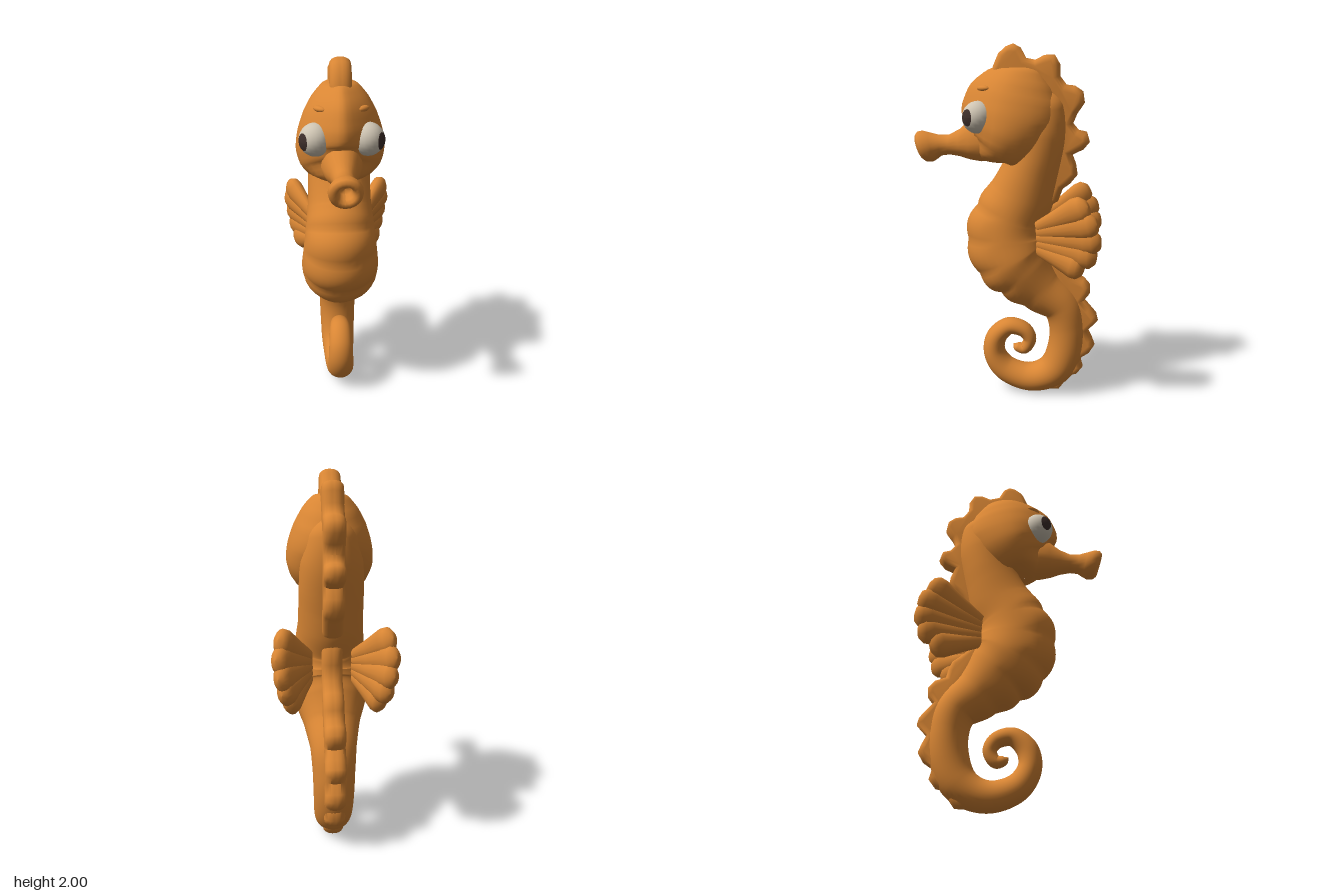
import * as THREE from 'three';
import { toCreasedNormals } from 'three/addons/utils/BufferGeometryUtils.js';

const { smoothstep, lerp } = THREE.MathUtils;

// Loft through stations [z, y, half depth, half width]; the ring starts at the front.
function loft(stations, perStation, sides, adjust) {
  const centre = new THREE.CatmullRomCurve3(stations.map(([z, y]) => new THREE.Vector3(0, y, z)));
  const size = new THREE.CatmullRomCurve3(stations.map(([, , d, w]) => new THREE.Vector3(d, w, 0)));
  const rows = (stations.length - 1) * perStation;
  const pos = [], index = [];
  const xAxis = new THREE.Vector3(1, 0, 0);
  for (let i = 0; i <= rows; i++) {
    const t = i / rows;
    const c = centre.getPoint(t), s = size.getPoint(t);
    const n = centre.getTangent(t).cross(xAxis).normalize();
    for (let j = 0; j < sides; j++) {
      const a = (j / sides) * Math.PI * 2;
      const p = c.clone()
        .addScaledVector(n, Math.max(s.x, 0.002) * Math.cos(a))
        .addScaledVector(xAxis, Math.max(s.y, 0.002) * Math.sin(a));
      adjust(p, Math.cos(a), t * (stations.length - 1), n);
      pos.push(p.x, p.y, p.z);
      if (i < rows) {
        const k = (j + 1) % sides;
        const A = i * sides + j, B = A + sides, C = i * sides + k, D = C + sides;
        index.push(A, B, C, B, D, C);
      }
    }
  }
  const geo = new THREE.BufferGeometry();
  geo.setAttribute('position', new THREE.Float32BufferAttribute(pos, 3));
  geo.setIndex(index);
  geo.computeVertexNormals();
  return geo;
}

// Rounded plate in the middle plane, outlined by [z, y] points.
function crestPlate(points) {
  const shape = new THREE.Shape(points.map(([z, y]) => new THREE.Vector2(z, y)));
  const geo = new THREE.ExtrudeGeometry(shape, {
    depth: 0.014, bevelThickness: 0.05, bevelSize: 0.034, bevelOffset: -0.034, bevelSegments: 4,
  });
  geo.translate(0, 0, -0.007).rotateY(-Math.PI / 2);
  return toCreasedNormals(geo, 1.1);
}

export function createModel() {
  const group = new THREE.Group();
  const orange = new THREE.MeshStandardMaterial({ name: 'orange skin', color: 0xd98634 });
  const white = new THREE.MeshStandardMaterial({ name: 'eye white', color: 0xcfc5b3 });
  const dark = new THREE.MeshStandardMaterial({ name: 'pupil brown', color: 0x3d2e2a });
  const add = (name, geo, mat, parent = group) => {
    const mesh = new THREE.Mesh(geo, mat);
    mesh.name = name;
    parent.add(mesh);
    return mesh;
  };

  // Neck, belly and curled tail in one sweep, with rolls on the belly
  const body = [
    [-0.13, 1.80, 0.05, 0.04], [-0.16, 1.66, 0.16, 0.14], [-0.17, 1.52, 0.16, 0.168],
    [-0.155, 1.40, 0.155, 0.174], [-0.125, 1.30, 0.165, 0.176], [-0.08, 1.18, 0.185, 0.18],
    [-0.018, 1.06, 0.202, 0.195], [0.003, 0.94, 0.225, 0.21], [-0.03, 0.825, 0.218, 0.222],
    [-0.1, 0.735, 0.185, 0.198], [-0.195, 0.64, 0.143, 0.155], [-0.315, 0.54, 0.112, 0.125],
    [-0.35, 0.42, 0.105, 0.115], [-0.342, 0.275, 0.105, 0.11], [-0.29, 0.155, 0.1, 0.105],
    [-0.2, 0.095, 0.088, 0.095], [-0.1, 0.085, 0.08, 0.087], [0.02, 0.135, 0.072, 0.08],
    [0.078, 0.23, 0.064, 0.075], [0.066, 0.325, 0.06, 0.07], [-0.01, 0.395, 0.05, 0.062],
    [-0.1, 0.375, 0.044, 0.052], [-0.132, 0.32, 0.038, 0.046], [-0.1, 0.262, 0.034, 0.04],
    [-0.055, 0.27, 0.026, 0.03], [-0.035, 0.285, 0.002, 0.002],
  ];
  add('body and tail', loft(body, 8, 32, (p, front, u, n) => {
    const panel = smoothstep(front, 0.1, 0.4) * smoothstep(u, 5.4, 6.1) * (1 - smoothstep(u, 9.3, 10.6));
    p.addScaledVector(n, panel * (0.02 * Math.abs(Math.sin(Math.PI * u)) - 0.005));
  }), orange);

  // Head, pinched towards the front, with the jaw set forward of the neck
  const head = [
    [-0.06, 1.888, 0.002, 0.002], [-0.06, 1.865, 0.13, 0.09], [-0.05, 1.80, 0.205, 0.15],
    [-0.035, 1.72, 0.26, 0.195], [-0.02, 1.62, 0.28, 0.228], [-0.005, 1.53, 0.252, 0.238],
    [0.025, 1.45, 0.205, 0.215], [0.055, 1.395, 0.145, 0.155], [0.06, 1.368, 0.08, 0.08],
    [0.06, 1.362, 0.002, 0.002],
  ];
  add('head', loft(head, 4, 28, (p, front) => {
    p.x *= 1 - 0.48 * Math.max(0, front) ** 2;
  }), orange);

  // Snout with a flared, hollow mouth that faces slightly down
  const snoutProfile = [
    [0.11, 0], [0.108, 0.06], [0.093, 0.12], [0.07, 0.18], [0.056, 0.24], [0.058, 0.29], [0.076, 0.335],
    [0.087, 0.365], [0.084, 0.395], [0.068, 0.412], [0.05, 0.408], [0.038, 0.385], [0.03, 0.34], [0, 0.33],
  ].map(([r, h]) => new THREE.Vector2(r, h));
  const snout = new THREE.LatheGeometry(snoutProfile, 20).rotateX(Math.PI / 2);
  const sp = snout.attributes.position;
  for (let i = 0; i < sp.count; i++) {
    const y = sp.getY(i), z = sp.getZ(i);
    const bridge = y > 0 ? 1 + 0.4 * (1 - smoothstep(z, 0.1, 0.24)) : 1;
    sp.setZ(i, z + y * 0.33 * smoothstep(z, 0.25, 0.36));
    sp.setY(i, y * bridge - z * 0.09);
  }
  snout.computeVertexNormals();
  snout.translate(0, 1.478, 0.09);
  add('snout', snout, orange);

  // Scalloped crest over the head and down the neck
  add('head crest', crestPlate([
    [0.09, 1.82], [0.08, 1.88], [0.05, 1.95], [0.01, 1.985], [-0.03, 2.0], [-0.07, 1.98], [-0.1, 1.925],
    [-0.15, 1.915], [-0.2, 1.94], [-0.255, 1.94], [-0.285, 1.89], [-0.285, 1.83], [-0.32, 1.785],
    [-0.365, 1.78], [-0.41, 1.75], [-0.42, 1.69], [-0.38, 1.63], [-0.36, 1.58], [-0.39, 1.545],
    [-0.435, 1.535], [-0.452, 1.48], [-0.42, 1.44], [-0.36, 1.41], [-0.38, 1.36], [-0.39, 1.3],
    [-0.35, 1.25], [-0.31, 1.22], [-0.285, 1.15], [-0.22, 1.11], [-0.17, 1.3],
    [-0.22, 1.5], [-0.17, 1.7], [-0.05, 1.77],
  ]), orange);

  // Scalloped ridge down the lower back and the tail
  add('tail ridge', crestPlate([
    [-0.21, 1.12], [-0.25, 1.06], [-0.24, 0.98], [-0.25, 0.9], [-0.31, 0.85], [-0.35, 0.82],
    [-0.37, 0.77], [-0.38, 0.73], [-0.44, 0.71], [-0.475, 0.67], [-0.475, 0.62], [-0.445, 0.58],
    [-0.48, 0.54], [-0.515, 0.5], [-0.525, 0.46], [-0.47, 0.4], [-0.495, 0.35], [-0.51, 0.31],
    [-0.48, 0.26], [-0.43, 0.225], [-0.445, 0.17], [-0.41, 0.125], [-0.35, 0.11], [-0.335, 0.06],
    [-0.31, 0.025], [-0.27, 0.022], [-0.2, 0.035], [-0.22, 0.11], [-0.33, 0.2], [-0.35, 0.42],
    [-0.31, 0.58], [-0.17, 0.75], [-0.14, 0.95],
  ]), orange);

  // Eye parts, set low on the narrow front of the head
  const eyeRadius = 0.087;
  const pupilGeo = new THREE.RingGeometry(0, 1, 12, 3).scale(0.036, 0.046, 1);
  const pp = pupilGeo.attributes.position;
  for (let i = 0; i < pp.count; i++) {
    pp.setZ(i, Math.sqrt((eyeRadius + 0.003) ** 2 - pp.getX(i) ** 2 - pp.getY(i) ** 2));
  }
  pupilGeo.computeVertexNormals();

  // One finger of a fan fin: slim at the root, rounded at the tip
  const fingerProfile = [[0, 0], [0.45, 0.02], [0.68, 0.4], [0.97, 0.78], [0.9, 0.9], [0.55, 0.98], [0, 1]]
    .map(([r, h]) => new THREE.Vector2(r, h));
  const fingerGeo = new THREE.LatheGeometry(fingerProfile, 16);
  const fingerTips = [[0.288, 1.175, -0.455], [0.302, 1.085, -0.505], [0.29, 0.99, -0.525],
    [0.272, 0.9, -0.505], [0.245, 0.825, -0.44]];

  for (const side of [1, -1]) {
    const label = side > 0 ? 'left' : 'right';

    const eye = new THREE.Group();
    eye.name = `${label} eye`;
    eye.position.set(side * 0.134, 1.615, 0.14);
    group.add(eye);
    add('eyeball', new THREE.SphereGeometry(eyeRadius, 20, 14), white, eye);
    add('pupil', pupilGeo, dark, eye).rotation.y = side * 0.93;

    const brow = add(`${label} brow`, new THREE.SphereGeometry(1, 14, 10), orange);
    brow.scale.set(0.022, 0.016, 0.045);
    brow.position.set(side * 0.11, 1.765, 0.115);
    brow.rotation.y = side * -0.7;

    const fin = new THREE.Group();
    fin.name = `${label} fin`;
    group.add(fin);
    fingerTips.forEach(([x, y, z], i) => {
      const root = new THREE.Vector3(side * 0.12, lerp(1.02, 0.9, i / 4), -0.18);
      const dir = new THREE.Vector3(side * x, y, z).sub(root);
      const length = dir.length();
      dir.normalize();
      const across = new THREE.Vector3(side * 0.89, -0.08, 0.45).cross(dir).normalize();
      const flat = across.clone().cross(dir).normalize();
      const finger = add('fin finger', fingerGeo, orange, fin);
      finger.quaternion.setFromRotationMatrix(new THREE.Matrix4().makeBasis(across, dir, flat));
      finger.scale.set(0.076, length, 0.05);
      finger.position.copy(root);
    });
  }
  return group;
}
